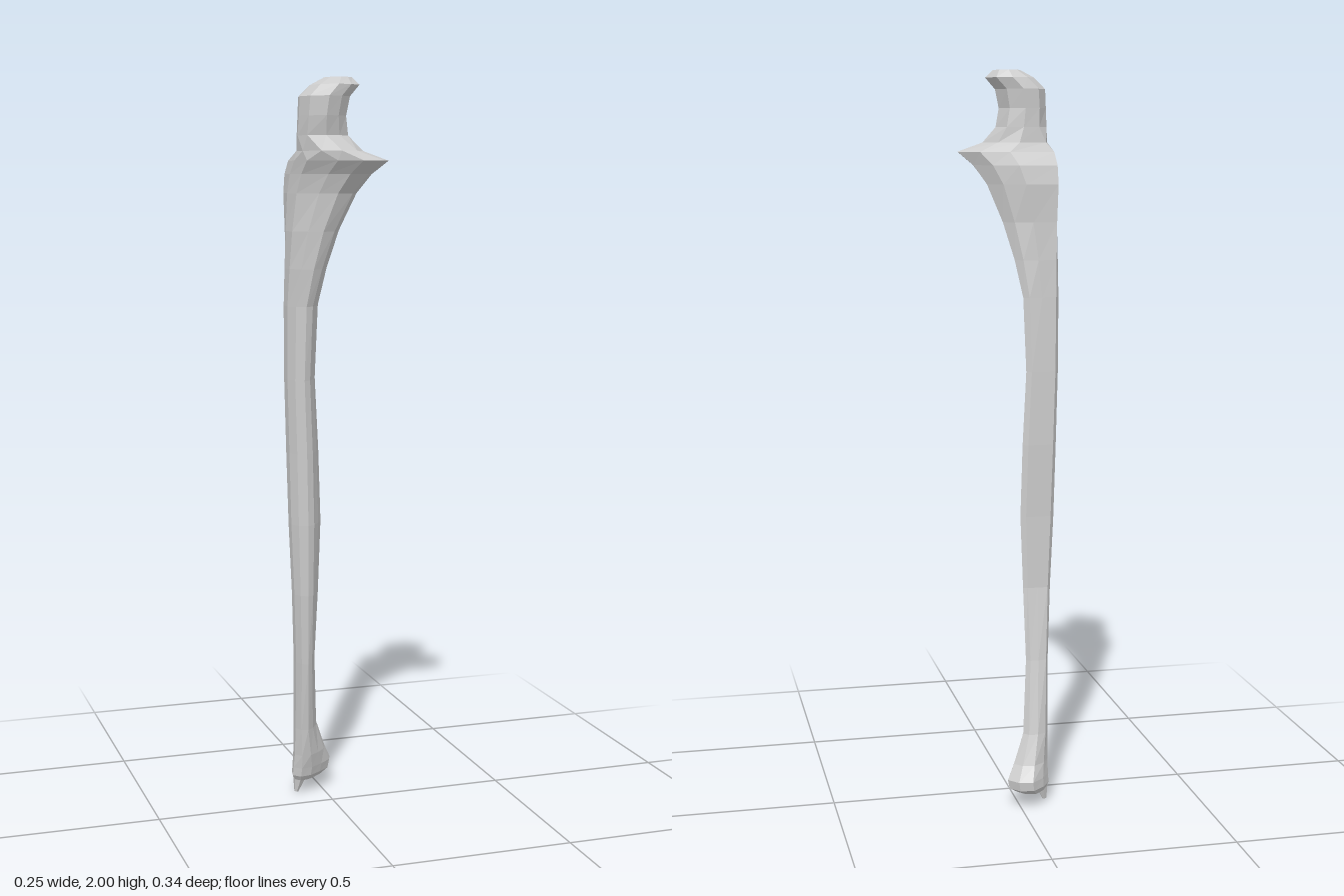
import * as THREE from 'three';

const material = new THREE.MeshStandardMaterial({ color: 0xcccccc, flatShading: true });

// Ten-sided section outlines as [x, z] in a -1..1 box, running from +x round to +z
const sections = {
  head: [[1, -0.4], [0.85, 0.05], [0.35, 0.5], [-0.2, 0.9], [-0.7, 1], [-1, 0.65], [-0.9, 0.1], [-0.55, -0.5], [0, -1], [0.6, -0.9]],
  shaft: [[1, -0.8], [0.65, 0], [0.2, 0.8], [-0.2, 1], [-0.7, 0.7], [-1, 0.1], [-1, -0.6], [-0.75, -1], [0, -1], [0.7, -1]],
  socket: [[1, 0], [0.95, 0.35], [0.7, 0.85], [0.2, 1], [-0.3, 0.75], [-0.85, 0.2], [-1, -0.35], [-1, -0.9], [0, -1], [0.6, -0.6]],
  hook: [[1, -0.1], [0.8, 0.5], [0.35, 0.85], [-0.2, 1], [-0.8, 0.6], [-1, 0], [-0.9, -0.45], [-0.5, -0.95], [0.1, -1], [0.7, -0.75]],
};

// Section extents: [y, xMin, xMax, zMin, zMax, outline A, outline B, blend]
const shaftRows = [
  [0.04, -0.085, 0.005, -0.155, -0.07, 'head', 'shaft', 0],
  [0.055, -0.093, 0.03, -0.17, -0.06, 'head', 'shaft', 0],
  [0.08, -0.092, 0.035, -0.172, -0.055, 'head', 'shaft', 0],
  [0.12, -0.09, 0.015, -0.15, -0.045, 'head', 'shaft', 0.2],
  [0.2, -0.09, -0.015, -0.125, -0.033, 'head', 'shaft', 0.5],
  [0.4, -0.095, -0.03, -0.085, -0.005, 'head', 'shaft', 0.8],
  [0.6, -0.105, -0.027, -0.057, 0.014, 'shaft', 'socket', 0],
  [0.8, -0.115, -0.02, -0.055, 0.025, 'shaft', 'socket', 0],
  [1.0, -0.12, -0.025, -0.06, 0.03, 'shaft', 'socket', 0],
  [1.2, -0.125, -0.035, -0.06, 0.032, 'shaft', 'socket', 0],
  [1.4, -0.127, -0.028, -0.057, 0.04, 'shaft', 'socket', 0.1],
  [1.5, -0.127, -0.008, -0.055, 0.06, 'shaft', 'socket', 0.35],
  [1.6, -0.127, 0.02, -0.052, 0.08, 'shaft', 'socket', 0.6],
];
const elbowRows = [
  shaftRows[shaftRows.length - 1],
  [1.7, -0.125, 0.058, -0.057, 0.106, 'shaft', 'socket', 0.9],
  [1.75, -0.122, 0.09, -0.05, 0.135, 'socket', 'hook', 0],
  [1.785, -0.118, 0.127, -0.03, 0.173, 'socket', 'hook', 0],
  [1.81, -0.115, 0.06, -0.018, 0.155, 'socket', 'hook', 0.4],
  [1.85, -0.114, 0.028, -0.015, 0.125, 'hook', 'hook', 0],
  [1.9, -0.112, 0.018, -0.016, 0.138, 'hook', 'hook', 0],
  [1.95, -0.11, 0.028, -0.02, 0.145, 'hook', 'hook', 0],
  [1.98, -0.08, 0.055, -0.015, 0.137, 'hook', 'hook', 0],
  [2.0, -0.04, 0.035, 0.005, 0.105, 'hook', 'hook', 0],
];

// Skin a stack of sections, closing whichever ends are asked for
function loft(name, rows, capBottom, capTop) {
  const positions = [], index = [], n = 10;
  for (const [y, x0, x1, z0, z1, a, b, t] of rows) {
    for (let i = 0; i < n; i++) {
      const u = THREE.MathUtils.lerp(sections[a][i][0], sections[b][i][0], t);
      const v = THREE.MathUtils.lerp(sections[a][i][1], sections[b][i][1], t);
      positions.push((x0 + x1) / 2 + u * (x1 - x0) / 2, y, (z0 + z1) / 2 + v * (z1 - z0) / 2);
    }
  }
  for (let r = 0; r < rows.length - 1; r++) {
    for (let i = 0; i < n; i++) {
      const p = r * n + i, q = r * n + (i + 1) % n;
      index.push(p, p + n, q, q, p + n, q + n);
    }
  }
  const cap = (row, up) => {
    const [y, x0, x1, z0, z1] = rows[row];
    const centre = positions.length / 3;
    positions.push((x0 + x1) / 2, y, (z0 + z1) / 2);
    for (let i = 0; i < n; i++) {
      const p = row * n + i, q = row * n + (i + 1) % n;
      index.push(centre, up ? q : p, up ? p : q);
    }
  };
  if (capBottom) cap(0, false);
  if (capTop) cap(rows.length - 1, true);
  const geometry = new THREE.BufferGeometry();
  geometry.setAttribute('position', new THREE.Float32BufferAttribute(positions, 3));
  geometry.setIndex(index);
  geometry.computeVertexNormals();
  const mesh = new THREE.Mesh(geometry, material);
  mesh.name = name;
  return mesh;
}

export function createModel() {
  const group = new THREE.Group();
  group.name = 'forearmBone';

  // Slender bowed shaft with its flared lower head
  group.add(loft('shaftAndLowerHead', shaftRows, true, false));

  // Upper end: projecting lip, hollow notch and overhanging hook
  group.add(loft('elbowHook', elbowRows, false, true));

  // Small pointed spur below the lower head
  const spur = new THREE.Mesh(new THREE.CylinderGeometry(0.026, 0.006, 0.07, 6), material);
  spur.name = 'lowerSpur';
  spur.position.set(-0.072, 0.036, -0.093);
  spur.rotation.z = -0.2;
  group.add(spur);

  return group;
}
